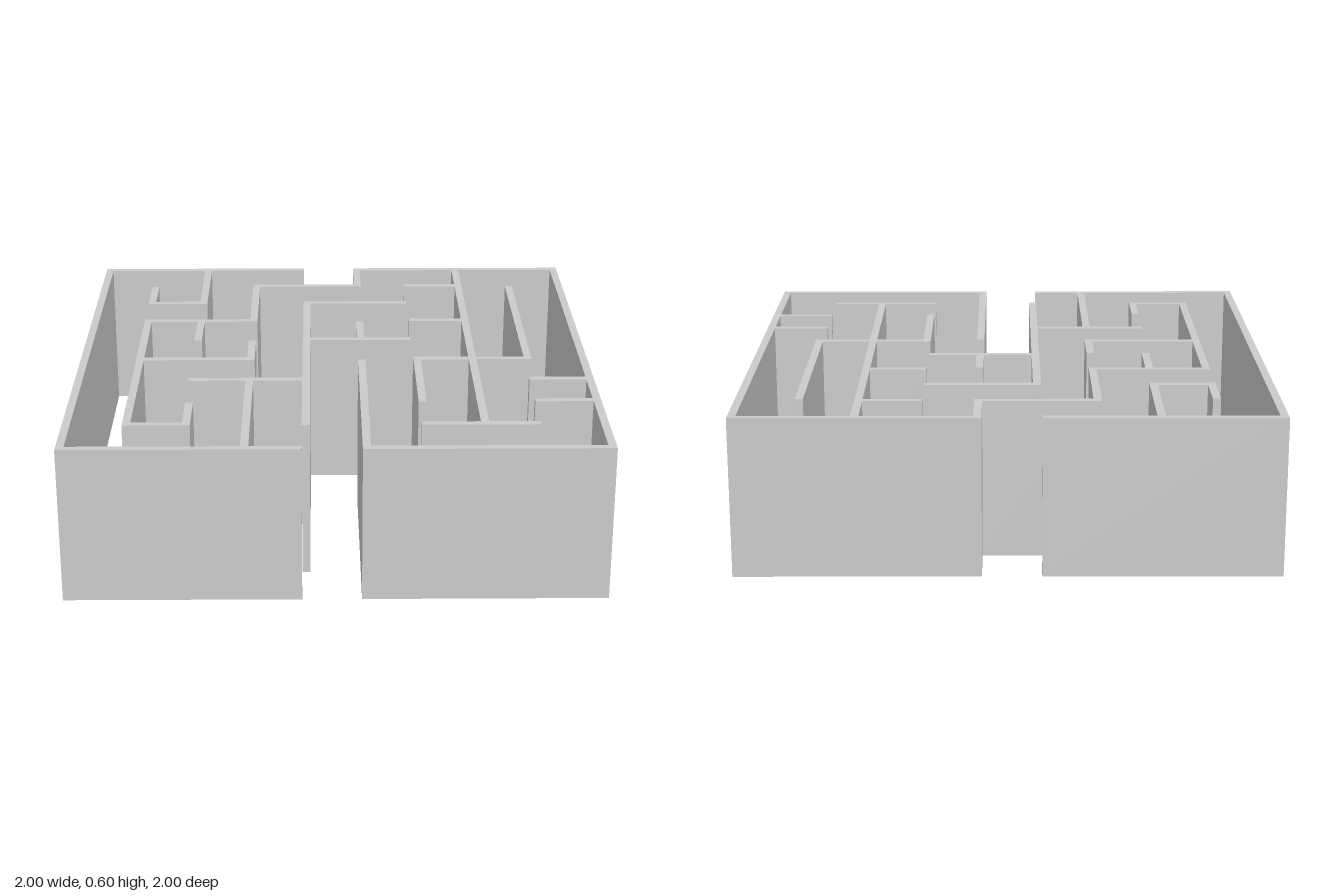
import * as THREE from 'three';

const HEIGHT = 0.6;
const THICK = 0.03;
const HALF = THICK / 2;
const CELLS = 9;
const PITCH = (2 - THICK) / CELLS;

// Position of a grid line, 0 to 9
const line = (i) => -1 + HALF + i * PITCH;

// Walls along x: for each z grid line, spans [from, to] in x grid lines
const ROWS = [
  [[0, 4], [5, 9]],
  [[3, 5], [6, 7]],
  [[1, 2], [4, 6]],
  [[1, 3], [6, 7]],
  [[4, 6]],
  [[1, 3], [6, 8]],
  [[2, 4], [8, 9]],
  [[8, 9]],
  [[1, 2], [6, 8]],
  [[0, 4], [5, 9]],
];

// Walls along z: for each x grid line, spans [from, to] in z grid lines
const COLUMNS = [
  [[0, 9]],
  [[1, 2], [3, 8]],
  [[0, 2], [3, 4], [7, 8]],
  [[1, 3], [4, 5], [6, 9]],
  [[2, 8]],
  [[0, 1], [3, 4], [5, 9]],
  [[5, 7]],
  [[0, 8]],
  [[1, 5]],
  [[0, 9]],
];

export function createModel() {
  const maze = new THREE.Group();
  maze.name = 'maze';
  const material = new THREE.MeshStandardMaterial({ color: 0xcccccc, flatShading: true });

  const addWall = (parent, name, x0, x1, z0, z1) => {
    const wall = new THREE.Mesh(new THREE.BoxGeometry(x1 - x0, HEIGHT, z1 - z0), material);
    wall.position.set((x0 + x1) / 2, HEIGHT / 2, (z0 + z1) / 2);
    wall.name = name;
    parent.add(wall);
  };

  const outer = new THREE.Group();
  outer.name = 'outerWalls';
  const inner = new THREE.Group();
  inner.name = 'innerWalls';
  maze.add(outer, inner);

  // Cross walls stop short of their right-hand grid line, except at the outer corners
  ROWS.forEach((spans, i) => {
    const edge = i === 0 || i === CELLS;
    for (const [a, b] of spans) {
      const end = line(b) + (edge && b === CELLS ? HALF : -HALF);
      addWall(edge ? outer : inner, edge ? 'outerCrossWall' : 'crossWall',
        line(a) - HALF, end, line(i) - HALF, line(i) + HALF);
    }
  });

  // Long walls start past their back grid line and run through the front one
  COLUMNS.forEach((spans, i) => {
    const edge = i === 0 || i === CELLS;
    for (const [a, b] of spans) {
      addWall(edge ? outer : inner, edge ? 'outerSideWall' : 'lengthWall',
        line(i) - HALF, line(i) + HALF, line(a) + HALF, line(b) + HALF);
    }
  });

  return maze;
}
